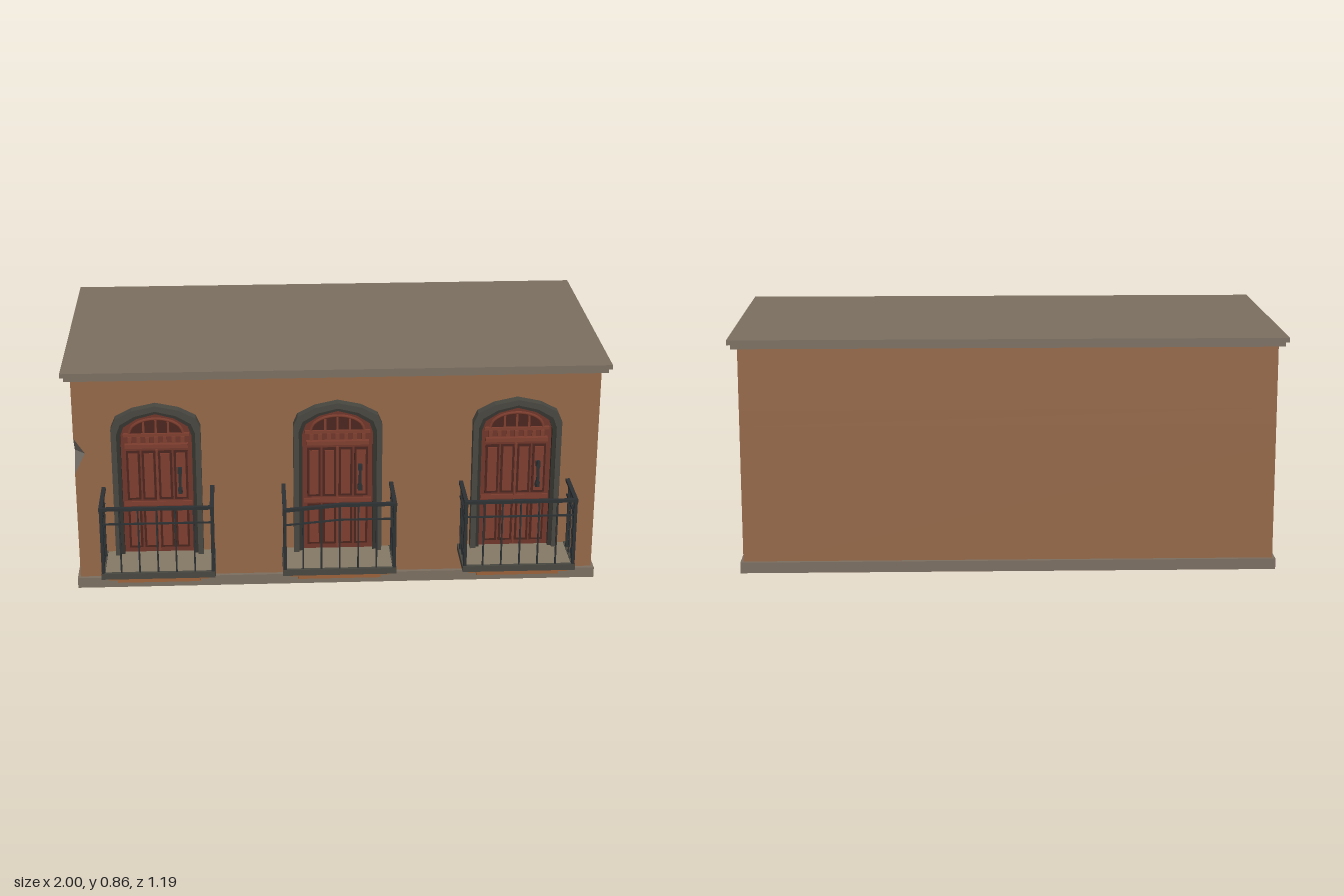
import * as THREE from 'three';

const mat = (color, extra = {}) => new THREE.MeshStandardMaterial({ color, ...extra });
const M = {
  wall: mat(0x946747, { flatShading: true }), stone: mat(0x7b6e60), chip: mat(0x77716a, { flatShading: true }),
  floor: mat(0x857865), ledge: mat(0x9a6038), frame: mat(0x47463f), innerFrame: mat(0x33322d),
  iron: mat(0x2c3032), door: mat(0x6e3428), panel: mat(0x7d3d2e), groove: mat(0x4a241c),
};

function add(parent, name, geo, material) {
  const m = new THREE.Mesh(geo, material);
  m.name = name;
  parent.add(m);
  return m;
}

// Box given by its minimum and maximum on each axis
function box(parent, name, material, x0, x1, y0, y1, z0, z1) {
  const m = add(parent, name, new THREE.BoxGeometry(x1 - x0, y1 - y0, z1 - z0), material);
  m.position.set((x0 + x1) / 2, (y0 + y1) / 2, (z0 + z1) / 2);
  return m;
}

// Square bar between two points
function bar(parent, name, a, b, w, h = w) {
  const m = add(parent, name, new THREE.BoxGeometry(w, h, a.distanceTo(b)), M.iron);
  m.position.copy(a).lerp(b, 0.5);
  m.lookAt(b);
  return m;
}

// Walls lofted from plan outlines; the front corner at -x is chipped part way up
function walls(parent) {
  const levels = [[0.02, 0], [0.46, 0], [0.54, 0.04], [0.6, 0], [0.84, 0]];
  const plan = c => [[-0.965 + c, 0.4], [0.965, 0.4], [0.965, -0.57], [-0.965, -0.57], [-0.965, 0.4 - c]];
  const wall = [], chip = [];
  for (let i = 0; i < levels.length - 1; i++) {
    const [y0, c0] = levels[i], [y1, c1] = levels[i + 1];
    const p = plan(c0), q = plan(c1);
    for (let k = 0; k < 5; k++) {
      const n = (k + 1) % 5;
      const a = [p[k][0], y0, p[k][1]], b = [p[n][0], y0, p[n][1]];
      const c = [q[n][0], y1, q[n][1]], d = [q[k][0], y1, q[k][1]];
      if (k < 4) wall.push(...a, ...b, ...c, ...a, ...c, ...d);
      else if (c0 || c1) chip.push(...(c1 ? [...a, ...c, ...d] : [...a, ...b, ...c]));
    }
  }
  for (const [name, data, m] of [['walls', wall, M.wall], ['chippedCorner', chip, M.chip]]) {
    const g = new THREE.BufferGeometry();
    g.setAttribute('position', new THREE.Float32BufferAttribute(data, 3));
    g.computeVertexNormals();
    add(parent, name, g, m);
  }
}

// Faceted arch outline: half width w, crown height top, foot at y
function archPoints(w, top, y) {
  const right = [[w, y], [w, top - 0.088], [w * 0.9, top - 0.05], [w * 0.52, top - 0.018]];
  const pts = [...right, [0, top], ...right.map(([x, v]) => [-x, v]).reverse()];
  return pts.map(([x, v]) => new THREE.Vector2(x, v));
}

function archBand(parent, name, material, outer, inner, z0, z1) {
  const o = archPoints(...outer, 0.14);
  const s = new THREE.Shape(inner ? [...o, ...archPoints(...inner, 0.14).reverse()] : o);
  const g = new THREE.ExtrudeGeometry(s, { depth: z1 - z0, bevelEnabled: false });
  add(parent, name, g, material).position.z = z0;
}

function door() {
  const g = new THREE.Group();
  g.name = 'door';
  archBand(g, 'outerFrame', M.frame, [0.163, 0.735], [0.143, 0.714], 0.39, 0.438);
  archBand(g, 'innerFrame', M.innerFrame, [0.143, 0.714], [0.13, 0.7], 0.39, 0.425);
  archBand(g, 'doorLeaf', M.door, [0.131, 0.701], null, 0.39, 0.406);

  // Raised panels, each set in a dark groove
  const panel = (x, w, y0, y1) => {
    box(g, 'panelGroove', M.groove, x - w, x + w, y0, y1, 0.4, 0.408);
    box(g, 'panel', M.panel, x - w + 0.008, x + w - 0.008, y0 + 0.01, y1 - 0.01, 0.4, 0.413);
  };
  for (const x of [-0.087, -0.03, 0.03, 0.087]) {
    panel(x, 0.025, 0.355, 0.55);
    panel(x, 0.025, 0.16, 0.325);
  }
  box(g, 'middleRail', M.panel, -0.125, 0.125, 0.332, 0.348, 0.4, 0.412);
  box(g, 'centreStrip', M.panel, -0.004, 0.004, 0.15, 0.555, 0.4, 0.415);

  // Transom ledge on small blocks, with an arched light above
  box(g, 'transomLedge', M.panel, -0.115, 0.115, 0.565, 0.58, 0.4, 0.424);
  for (let i = -3; i <= 3; i++) box(g, 'transomBlock', M.panel, i * 0.032 - 0.007, i * 0.032 + 0.007, 0.583, 0.606, 0.4, 0.416);
  box(g, 'transomRail', M.panel, -0.12, 0.12, 0.609, 0.62, 0.4, 0.418);
  const light = new THREE.Shape().absellipse(0, 0, 0.095, 0.055, 0, Math.PI);
  add(g, 'archLight', new THREE.ExtrudeGeometry(light, { depth: 0.008, bevelEnabled: false, curveSegments: 8 }), M.groove)
    .position.set(0, 0.62, 0.401);
  const rim = Array.from({ length: 9 }, (_, i) => i * Math.PI / 8)
    .map(t => new THREE.Vector3(0.098 * Math.cos(t), 0.62 + 0.056 * Math.sin(t), 0.41));
  add(g, 'archLightRim', new THREE.TubeGeometry(new THREE.CatmullRomCurve3(rim), 16, 0.006, 5), M.panel);
  for (const x of [-0.045, 0, 0.045]) box(g, 'lightBar', M.panel, x - 0.004, x + 0.004, 0.62, x ? 0.665 : 0.673, 0.4, 0.413);

  // Long pull handle
  const v = y => new THREE.Vector3(0.083, y, 0.428);
  bar(g, 'handle', v(0.385), v(0.49), 0.01);
  for (const y of [0.395, 0.475]) box(g, 'handleMount', M.iron, 0.075, 0.091, y - 0.01, y + 0.01, 0.405, 0.43);
  return g;
}

// Balcony; sag lowers the railing towards its -x front corner
function balcony(sag) {
  const g = new THREE.Group();
  g.name = 'balcony';
  box(g, 'floorSlab', M.floor, -0.2, 0.2, 0.125, 0.142, 0.38, 0.585);
  box(g, 'slabEdgeFront', M.frame, -0.208, 0.208, 0.122, 0.145, 0.583, 0.597);
  for (const s of [-1, 1]) box(g, 'slabEdgeSide', M.frame, s * 0.201 - 0.007, s * 0.201 + 0.007, 0.122, 0.145, 0.39, 0.585);
  box(g, 'upperLedge', M.ledge, -0.183, 0.183, 0.107, 0.125, 0.38, 0.574);
  box(g, 'lowerLedge', M.ledge, -0.152, 0.152, 0.09, 0.107, 0.38, 0.56);

  const X = 0.2, Z = 0.588;
  const at = (x, y, z) => new THREE.Vector3(
    x, y - sag * Math.max(0, -x / X) * (z - 0.4) / (Z - 0.4) * (y > 0.2 ? 1 : 0), z);
  for (const [name, y, w, h] of [['handRail', 0.399, 0.015, 0.011], ['middleRail', 0.34, 0.006, 0.006]]) {
    for (const s of [-1, 1]) {
      bar(g, name, at(s * X, y, 0.395), at(s * X, y, Z), w, h);
      bar(g, name, at(s * (X + w / 2), y, Z), at(0, y, Z), w, h);
    }
  }
  const upright = (name, x, z, w) => bar(g, name, at(x, 0.14, z), at(x, 0.4, z), w);
  for (const s of [-1, 1]) {
    upright('cornerPost', s * X, Z, 0.012);
    upright('wallPost', s * X, 0.447, 0.009);
    for (const z of [0.495, 0.543]) upright('sideBaluster', s * X, z, 0.006);
  }
  for (let i = -2; i <= 2; i++) upright('frontBaluster', i * 0.067, Z, 0.006);
  return g;
}

export function createModel() {
  const root = new THREE.Group();
  root.name = 'balconyBuilding';
  walls(root);
  box(root, 'plinth', M.stone, -0.975, 0.975, 0, 0.04, -0.585, 0.415);
  box(root, 'lowerCornice', M.stone, -0.988, 0.988, 0.826, 0.843, -0.585, 0.415);
  box(root, 'roofSlab', M.stone, -1, 1, 0.843, 0.86, -0.597, 0.425);

  for (const x of [-0.663, 0, 0.66]) {
    const bay = new THREE.Group();
    bay.name = 'balconyBay';
    bay.position.x = x;
    bay.add(door(), balcony(x === 0 ? 0.018 : 0));
    root.add(bay);
  }
  return root;
}
